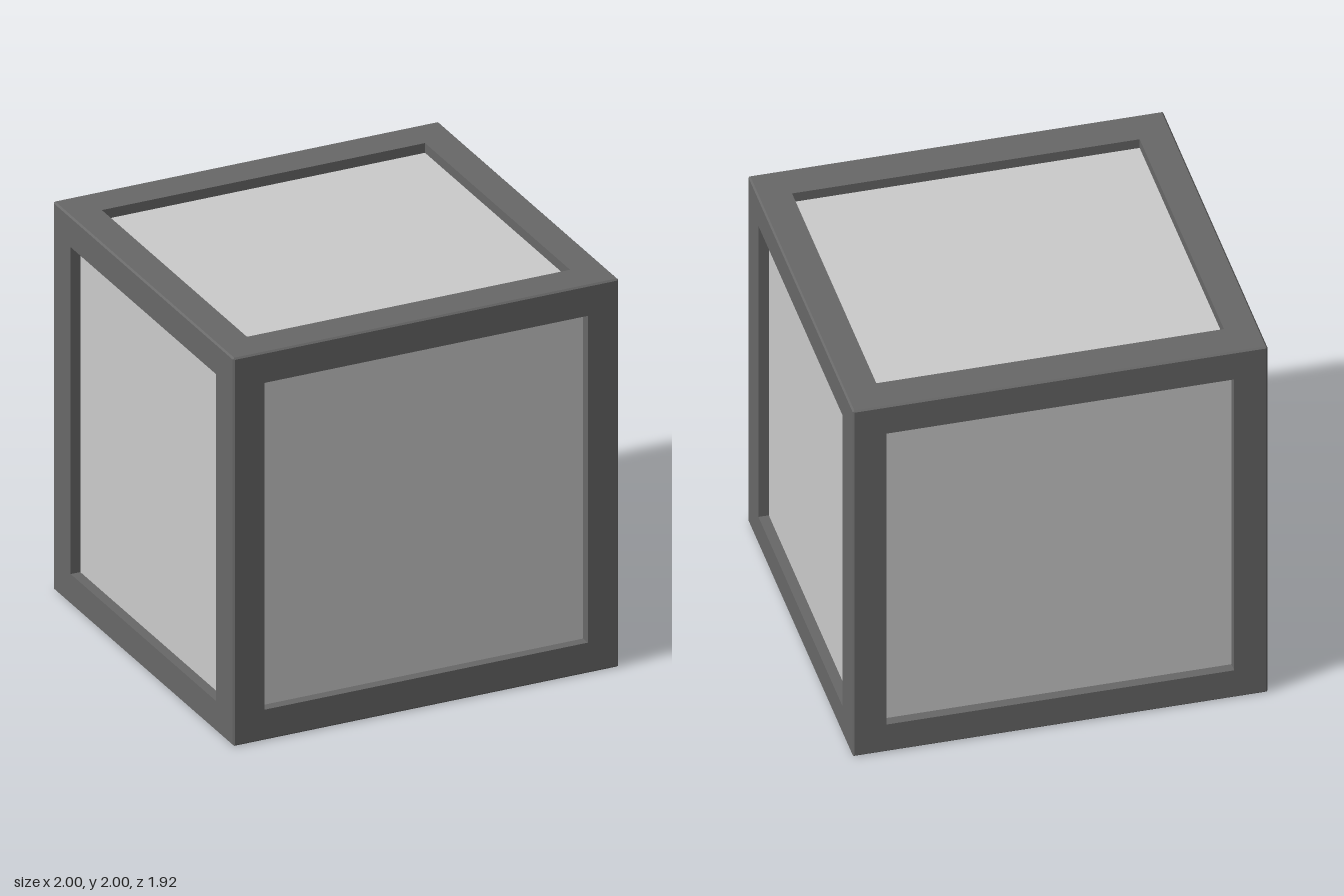
import * as THREE from 'three';

const HALF = { x: 1, y: 1, z: 0.96 };             // outer half sizes
const OPEN = { x: 0.838, y: 0.842, z: 0.772 };    // half sizes of the openings
const RECESS = 0.05;                              // depth of the panels
const CHAMFER = 0.008;

function rectangle(path, a, b) {
  path.moveTo(-a, -b);
  path.lineTo(a, -b);
  path.lineTo(a, b);
  path.lineTo(-a, b);
  path.closePath();
  return path;
}

// Square frame of one face, its outer rim sloped so neighbours meet in a chamfer
function frameGeometry(u, v) {
  const a = HALF[u] - CHAMFER, b = HALF[v] - CHAMFER;
  const shape = rectangle(new THREE.Shape(), a, b);
  shape.holes.push(rectangle(new THREE.Path(), OPEN[u], OPEN[v]));
  const geo = new THREE.ExtrudeGeometry(shape, { depth: RECESS, bevelEnabled: false });
  geo.translate(0, 0, -RECESS);
  const p = geo.attributes.position;
  for (let i = 0; i < p.count; i++) {
    const x = p.getX(i), y = p.getY(i);
    const outer = Math.abs(x) > a - 1e-4 && Math.abs(y) > b - 1e-4;
    if (outer && p.getZ(i) < -1e-4) {
      p.setXYZ(i, x + Math.sign(x) * CHAMFER / 2, y + Math.sign(y) * CHAMFER / 2, -CHAMFER / 2);
    }
  }
  geo.computeVertexNormals();
  return geo;
}

export function createModel() {
  const model = new THREE.Group();
  model.name = 'framedBox';
  const frameMat = new THREE.MeshStandardMaterial({ color: 0x686868 });
  const panelMat = new THREE.MeshStandardMaterial({ color: 0xcccccc });

  // Inner box whose sides show as the recessed panels
  const panels = new THREE.Mesh(
    new THREE.BoxGeometry(...['x', 'y', 'z'].map((k) => 2 * (HALF[k] - RECESS))), panelMat);
  panels.name = 'panels';
  panels.position.y = HALF.y;
  model.add(panels);

  // One frame per face: name, in-plane axes, outward axis, rotation
  const q = Math.PI / 2;
  const faces = [
    ['frontFrame', 'x', 'y', 'z', 0, 0],
    ['backFrame', 'x', 'y', 'z', 0, 2 * q],
    ['leftFrame', 'z', 'y', 'x', 0, q],
    ['rightFrame', 'z', 'y', 'x', 0, -q],
    ['topFrame', 'x', 'z', 'y', -q, 0],
    ['bottomFrame', 'x', 'z', 'y', q, 0],
  ];
  for (const [name, u, v, out, rx, ry] of faces) {
    const frame = new THREE.Mesh(frameGeometry(u, v), frameMat);
    frame.name = name;
    frame.rotation.set(rx, ry, 0);
    frame.position.set(0, 0, HALF[out]).applyEuler(frame.rotation);
    frame.position.y += HALF.y;
    model.add(frame);
  }
  return model;
}
